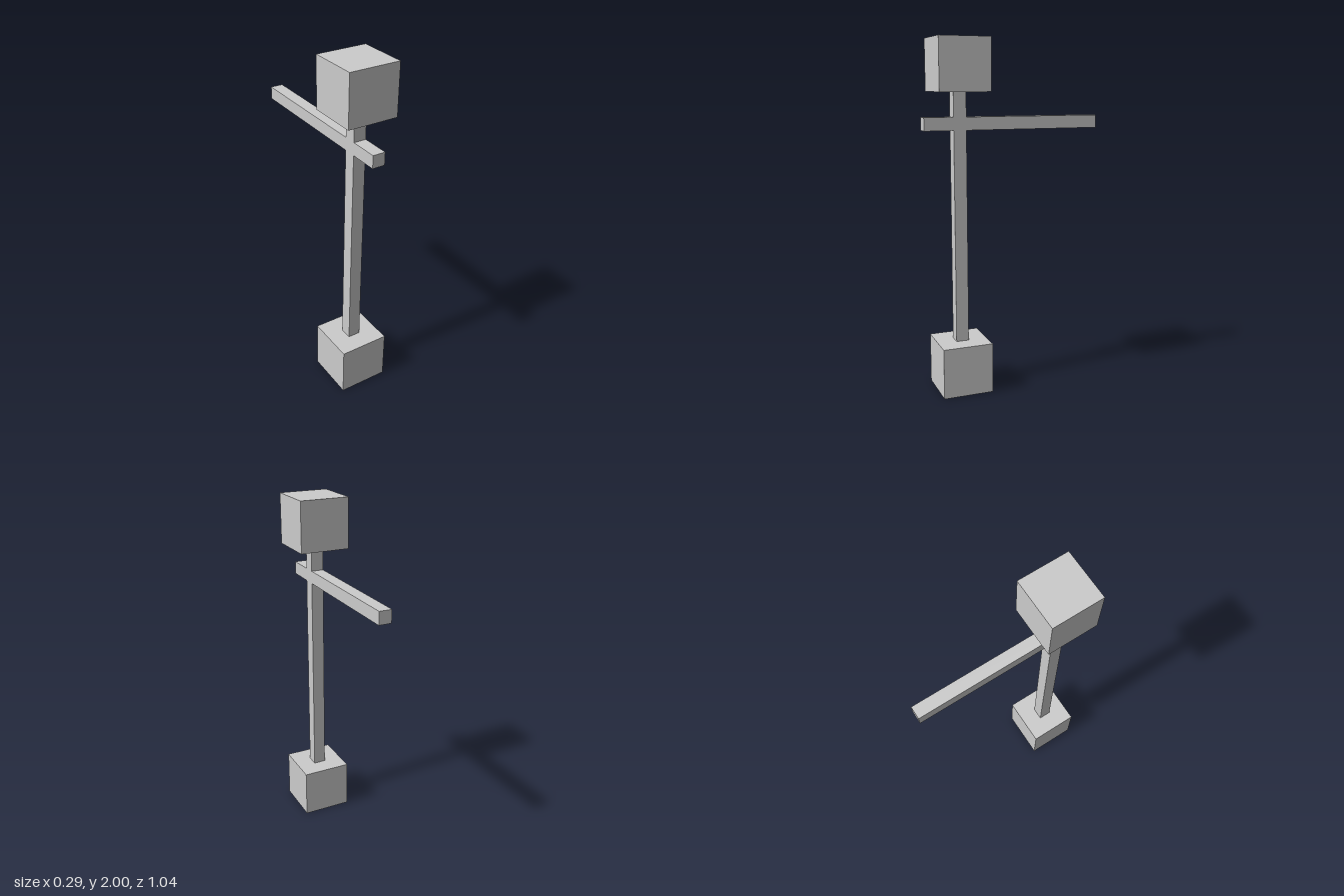
import * as THREE from 'three';

const BLOCK = 0.29;   // edge of the end cubes
const BEAM = 0.073;   // thickness of post and arm
const POST_Z = 0.315; // post axis, forward of centre
const ARM_BOTTOM = 1.5;
const ARM_TOP = ARM_BOTTOM + BEAM;

export function createModel() {
  const group = new THREE.Group();
  const material = new THREE.MeshStandardMaterial({ color: 0xcccccc, flatShading: true });

  // Box spanning y0..y1, centred on x = 0
  const addBox = (name, width, depth, y0, y1, z) => {
    const mesh = new THREE.Mesh(new THREE.BoxGeometry(width, y1 - y0, depth), material);
    mesh.name = name;
    mesh.position.set(0, (y0 + y1) / 2, z);
    group.add(mesh);
  };

  // Cubes at both ends of the post
  addBox('baseBlock', BLOCK, BLOCK, 0, BLOCK, POST_Z);
  addBox('topBlock', BLOCK, BLOCK, 2 - BLOCK, 2, POST_Z);

  // Post, split where the arm passes through so no faces overlap
  addBox('lowerPost', BEAM, BEAM, BLOCK, ARM_BOTTOM, POST_Z);
  addBox('upperPost', BEAM, BEAM, ARM_TOP, 2 - BLOCK, POST_Z);

  // Long arm, short in front of the post and long behind it
  addBox('crossArm', BEAM, 1.036, ARM_BOTTOM, ARM_TOP, 0);

  return group;
}
